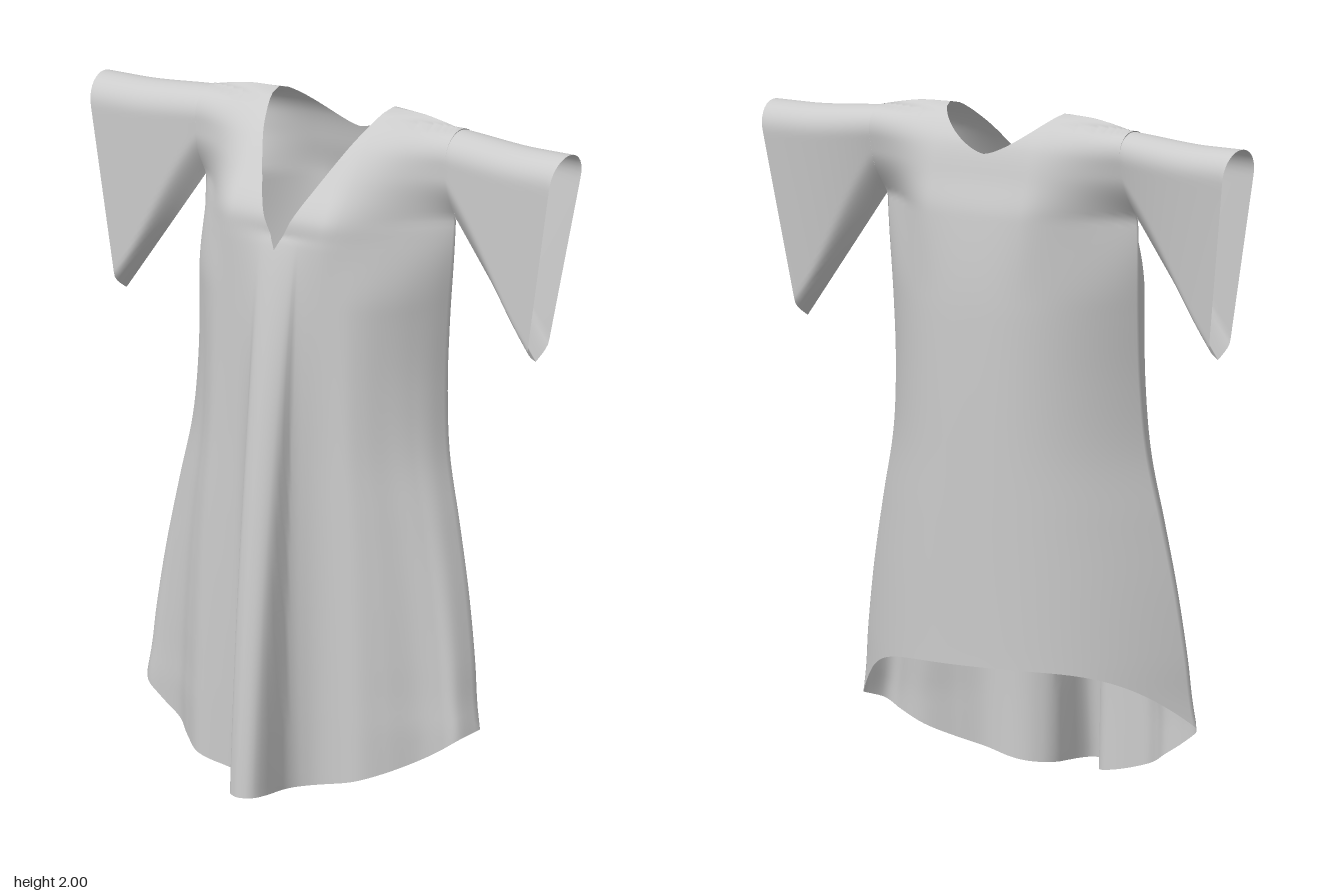
import * as THREE from 'three';
import { mergeGeometries, mergeVertices } from 'three/addons/utils/BufferGeometryUtils.js';
import { ParametricGeometry } from 'three/addons/geometries/ParametricGeometry.js';

const { lerp, clamp, smoothstep } = THREE.MathUtils;

// Smooth curve through [position, value] pairs
function curve(pts) {
  const slope = (i) => {
    const a = pts[Math.max(i - 1, 0)], b = pts[Math.min(i + 1, pts.length - 1)];
    return (b[1] - a[1]) / (b[0] - a[0]);
  };
  return (x) => {
    if (x <= pts[0][0]) return pts[0][1];
    if (x >= pts[pts.length - 1][0]) return pts[pts.length - 1][1];
    let i = 0;
    while (x > pts[i + 1][0]) i++;
    const w = pts[i + 1][0] - pts[i][0], t = (x - pts[i][0]) / w;
    const t2 = t * t, t3 = t2 * t;
    return (2 * t3 - 3 * t2 + 1) * pts[i][1] + (t3 - 2 * t2 + t) * w * slope(i)
      + (3 * t2 - 2 * t3) * pts[i + 1][1] + (t3 - t2) * w * slope(i + 1);
  };
}

const ARM_X = 0.44, ARM_TOP = 1.97, ARM_H = 0.265, HEM_W = 0.585;
const SHOULDER_Z = -0.168, ARMPIT_Z = -0.14, HEM_Z = -0.05;

// Half width of the gown by height
const width = curve([[0.2, HEM_W], [0.28, 0.572], [0.4, 0.56], [0.6, 0.53], [0.8, 0.49], [1, 0.447],
  [1.2, 0.431], [1.4, 0.431], [1.6, 0.438], [1.72, ARM_X]]);
// Depth of the front hem from right to left, with the tall middle pleat
const hemFront = curve([[-1, HEM_Z], [-0.95, -0.01], [-0.86, 0], [-0.72, 0.02], [-0.61, 0.08],
  [-0.48, 0.14], [-0.3, 0.142], [-0.19, 0.155], [-0.115, 0.22], [-0.075, 0.32], [-0.02, 0.355],
  [0.035, 0.365], [0.1, 0.345], [0.125, 0.29], [0.135, 0.22], [0.2, 0.165], [0.3, 0.14], [0.48, 0.14],
  [0.61, 0.1], [0.75, 0.045], [0.87, 0.028], [0.95, 0.02], [1, HEM_Z]]);
const shoulder = curve([[0.2, 2], [0.3, 1.996], [0.37, 1.985], [ARM_X, ARM_TOP]]);
// Depth of chest and back by the drop below the shoulder
const chest = curve([[0, SHOULDER_Z], [0.01, -0.12], [0.05, -0.06], [0.1, -0.005], [0.2, 0.075],
  [0.29, 0.137], [0.36, 0.145]]);
const back = curve([[0, SHOULDER_Z], [0.01, -0.205], [0.05, -0.255], [0.1, -0.288], [0.2, -0.315],
  [0.3, -0.34], [0.6, -0.36], [1.6, -0.35]]);

// Half thickness of a sleeve section at a drop below its top
function sleeveHalf(drop, height) {
  if (drop <= 0 || drop >= height) return 0;
  const close = lerp(0.13, 0.05, smoothstep(height, ARM_H, 0.6));
  const top = Math.min(drop / 0.085, 1), low = Math.min((height - drop) / close, 1);
  return lerp(0.087, 0.053, drop / height) * Math.sqrt(1 - (1 - top) ** 2) * Math.sin(Math.PI / 2 * low);
}

// Depth of the body panels; side is 1 for the front, -1 for the back
function bodyDepth(u, y, side) {
  const a = Math.abs(u), drop = ARM_TOP - y;
  const seam = drop < ARM_H ? lerp(SHOULDER_Z, ARMPIT_Z, Math.max(drop, 0) / ARM_H)
    : lerp(ARMPIT_Z, HEM_Z, clamp((drop - ARM_H) / 1.5, 0, 1));
  const edge = seam + side * sleeveHalf(drop, ARM_H);
  const inner = (side > 0 ? chest : back)(Math.max(shoulder(a * ARM_X) - y, 0));
  const low = side > 0 ? 1 - a ** 4 : 1 - a ** 2.5;
  const high = 1 - smoothstep(a, 0.35, 1);
  const z = lerp(edge, inner, lerp(low, high, smoothstep(y, 1.45, 1.85)));
  if (side < 0) return z;
  // Broad swell below the neck that narrows into the pleat
  const t = clamp((1.65 - y) / 1.65, 0, 1);
  const swell = 0.13 * t ** 0.65 * Math.exp(-((u / 0.25) ** 2));
  const across = lerp(u * width(y) / HEM_W, u, smoothstep(a, 0.25, 0.8));
  const pleats = hemFront(across) + (edge - HEM_Z) * a ** 8;
  return lerp(z + swell, pleats, t ** 1.2);
}

// One body panel from hem to neckline and shoulder
function panel(side) {
  return new ParametricGeometry((p, q, target) => {
    const u = (p * 2 - 1) * side, a = Math.abs(u), x = a * ARM_X;
    const hem = side > 0 ? 0.2 * a ** 2.2 : 0.37 - 0.17 * a ** 5;
    const n = Math.min(x / 0.2, 1);
    const top = n === 1 ? shoulder(x) : side > 0 ? 1.61 + 0.39 * n : 1.88 + 0.12 * n ** 1.5;
    const y = lerp(hem, top, 1 - (1 - q) ** 1.6);
    target.set(u * width(y), y, bodyDepth(u, y, side));
  }, 180, 90);
}

// Sleeve with a straight top and a long hanging point at the cuff
function sleeve(side) {
  return new ParametricGeometry((t, v, target) => {
    const angle = Math.PI * 2 * v, s = (1 + Math.cos(angle)) / 2;
    const face = (v <= 0.5 ? 1 : -1) * side;
    const top = ARM_TOP - 0.02 * smoothstep(t, -0.2, 0.7);
    const bottom = ARM_TOP - ARM_H - 0.39 * t, height = top - bottom;
    const x = ARM_X + lerp(0.38, 0.28, s) * t;
    const z = lerp(SHOULDER_Z, ARMPIT_Z, s) + face * sleeveHalf(s * height, height);
    target.set(side * x, lerp(top, bottom, s), z);
  }, 24, 72);
}

// Weld the seams so the shading runs smoothly across them
function weld(parts) {
  for (const g of parts) {
    g.deleteAttribute('uv');
    g.deleteAttribute('normal');
  }
  const geometry = mergeVertices(mergeGeometries(parts), 1e-4);
  geometry.computeVertexNormals();
  return geometry;
}

export function createModel() {
  const group = new THREE.Group();
  group.name = 'gown';
  const cloth = new THREE.MeshStandardMaterial({ color: 0xcccccc, side: THREE.DoubleSide });
  const add = (name, parts) => {
    const mesh = new THREE.Mesh(weld(parts), cloth);
    mesh.name = name;
    group.add(mesh);
  };
  add('body', [panel(1), panel(-1)]);
  add('leftSleeve', [sleeve(1)]);
  add('rightSleeve', [sleeve(-1)]);
  return group;
}
